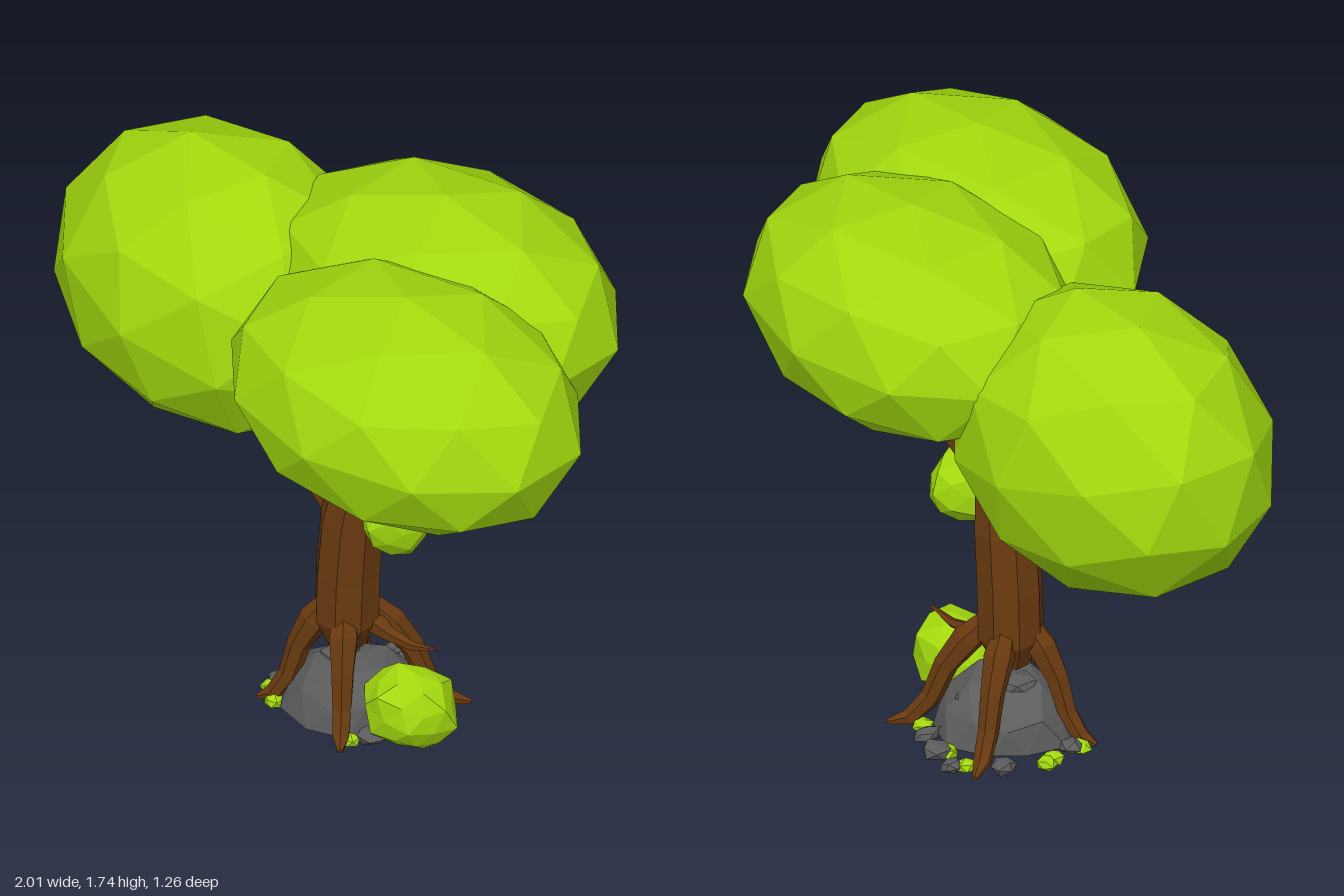
import * as THREE from 'three';

const paint = (color) => new THREE.MeshStandardMaterial({ color, flatShading: true });
const leaf = paint(0xa2d80e), bark = paint(0x693a10), stone = paint(0x5c5c5c);

// Faceted ball with a vertex at the top; tilt turns the facets, jitter roughens it,
// floor cuts it flat underneath
function blob(name, mat, [x, y, z], [rx, ry, rz], { tilt = 0, jitter = 0, floor = -1, detail = 1 } = {}) {
  const g = new THREE.IcosahedronGeometry(1, detail);
  g.rotateZ(Math.atan(2 / (1 + Math.sqrt(5)))).rotateY(Math.PI).rotateZ(tilt);
  const p = g.attributes.position, v = new THREE.Vector3();
  for (let i = 0; i < p.count; i++) {
    v.fromBufferAttribute(p, i);
    // position-based wobble keeps shared corners together
    const w = Math.sin(v.x * 7.3 + v.y * 11.1 + v.z * 5.7 + x * 40 + z * 23);
    v.multiplyScalar(1 + jitter * w);
    v.y = Math.max(v.y, floor);
    p.setXYZ(i, v.x * rx, v.y * ry, v.z * rz);
  }
  g.computeVertexNormals();
  const mesh = new THREE.Mesh(g, mat);
  mesh.name = name;
  mesh.position.set(x, y, z);
  return mesh;
}

// Tapering limb through stations [x, y, z, radius], closed at both ends
function limb(name, stations, sides = 6) {
  const pts = stations.map(([x, y, z]) => new THREE.Vector3(x, y, z));
  const last = pts.length - 1;
  const span = pts[last].clone().sub(pts[0]);
  const ref = new THREE.Vector3(-span.z, 0, span.x);
  if (ref.length() < 0.05) ref.set(0, 0, 1);
  ref.normalize();
  const pos = [], idx = [];
  pts.forEach((p, i) => {
    const t = pts[Math.min(i + 1, last)].clone().sub(pts[Math.max(i - 1, 0)]).normalize();
    const u = ref.clone().addScaledVector(t, -ref.dot(t)).normalize();
    const w = t.clone().cross(u);
    for (let k = 0; k < sides; k++) {
      const a = ((k + 0.5) / sides) * Math.PI * 2, r = stations[i][3];
      const q = p.clone().addScaledVector(u, r * Math.cos(a)).addScaledVector(w, r * Math.sin(a));
      pos.push(q.x, q.y, q.z);
      if (i < last) {
        const a0 = i * sides + k, b0 = i * sides + (k + 1) % sides;
        idx.push(a0, b0, b0 + sides, a0, b0 + sides, a0 + sides);
      }
    }
  });
  for (let k = 1; k < sides - 1; k++) {
    const e = last * sides;
    idx.push(0, k + 1, k, e, e + k, e + k + 1);
  }
  const g = new THREE.BufferGeometry();
  g.setAttribute('position', new THREE.Float32BufferAttribute(pos, 3));
  g.setIndex(idx);
  g.computeVertexNormals();
  const mesh = new THREE.Mesh(g, bark);
  mesh.name = name;
  return mesh;
}

export function createModel() {
  const tree = new THREE.Group();
  tree.name = 'tree';

  // Leaf crowns
  tree.add(
    blob('frontCrown', leaf, [0.45, 1.39, 0.21], [0.578, 0.34, 0.42]),
    blob('backCrown', leaf, [0.2, 1.41, -0.215], [0.57, 0.335, 0.42]),
    blob('sideCrown', leaf, [-0.49, 1.24, -0.035], [0.53, 0.44, 0.415], { tilt: 0.78 }),
  );

  // Small leaf clumps on the trunk and at the base
  tree.add(
    blob('trunkClump', leaf, [0.2, 0.76, -0.02], [0.1, 0.12, 0.115], { tilt: 0.5, jitter: 0.07 }),
    blob('baseBush', leaf, [0.275, 0.155, 0.005], [0.14, 0.13, 0.12], { tilt: 0.9, jitter: 0.09 }),
  );

  // Trunk
  tree.add(limb('trunk', [
    [0.02, 0.25, 0, 0.05], [0.02, 0.34, -0.005, 0.095], [0.025, 0.5, -0.005, 0.095],
    [0.04, 0.68, -0.005, 0.093], [0.07, 0.85, 0, 0.075], [0.06, 0.97, 0.03, 0.05], [0.06, 1.18, 0.04, 0.036],
  ], 8));

  // Branches
  tree.add(
    limb('sideBranch', [[0.03, 0.64, -0.01, 0.06], [-0.05, 0.71, -0.01, 0.04], [-0.17, 0.77, -0.01, 0.024],
      [-0.34, 0.89, -0.01, 0.016], [-0.45, 0.97, -0.01, 0.012]]),
    limb('backBranch', [[0.08, 0.76, -0.01, 0.06], [0.14, 0.9, -0.05, 0.05], [0.18, 1.0, -0.1, 0.046],
      [0.29, 1.07, -0.15, 0.042], [0.36, 1.15, -0.18, 0.035]]),
    limb('frontBranch', [[0.09, 0.92, 0, 0.04], [0.15, 1.0, 0.11, 0.028], [0.25, 1.06, 0.25, 0.02],
      [0.32, 1.12, 0.33, 0.015]]),
    limb('upperBranch', [[0.06, 0.96, 0.01, 0.035], [-0.01, 1.0, 0, 0.027], [-0.12, 1.06, -0.02, 0.02],
      [-0.2, 1.12, -0.03, 0.015]]),
    limb('twig', [[0.08, 0.34, -0.04, 0.04], [0.14, 0.31, -0.05, 0.022], [0.22, 0.3, -0.06, 0.014],
      [0.3, 0.32, -0.07, 0.004]], 5),
  );

  // Roots: from the trunk foot out over the rocks to the ground
  const roots = [[-0.18, 0.12], [0.15, 0.16], [0.24, -0.24], [-0.12, -0.23]];
  for (const [x, z] of roots) {
    const at = (f, y, r) => [0.02 + (x - 0.02) * f, y, z * f, r];
    tree.add(limb('root', [at(0.15, 0.4, 0.03), at(0.38, 0.32, 0.045), at(0.57, 0.23, 0.035),
      at(0.7, 0.12, 0.03), at(0.88, 0.05, 0.026), at(1.08, 0.03, 0.008)]));
  }

  // Rock mound with broken stones on and around it
  tree.add(blob('rockMound', stone, [0.03, 0.045, -0.02], [0.2, 0.17, 0.19], { jitter: 0.08, floor: 0 }));
  const stones = [
    [0.0, 0.19, 0.0, 0.06], [0.1, 0.16, 0.03, 0.06], [0.08, 0.14, -0.1, 0.06], [-0.09, 0.1, -0.04, 0.06],
    [0.02, 0.06, -0.27, 0.04], [-0.19, 0.05, 0.05, 0.035], [0.1, 0.06, -0.24, 0.04],
    [-0.15, 0.05, -0.16, 0.04], [0.2, 0.06, 0.08, 0.045], [-0.06, 0.05, -0.28, 0.035],
  ];
  for (const [x, y, z, r] of stones)
    tree.add(blob('stone', stone, [x, y, z], [r, r * 0.6, r], { jitter: 0.2, tilt: x * 9, detail: 0 }));

  // Moss tufts along the ground
  const tufts = [[-0.19, 0.04, 0.08], [-0.14, 0.035, 0.12], [0.15, 0.04, 0.12], [0.02, 0.04, -0.23],
    [-0.2, 0.04, -0.05], [-0.08, 0.045, -0.24], [0.17, 0.04, -0.2], [-0.17, 0.025, 0.0]];
  for (const [x, y, z] of tufts)
    tree.add(blob('mossTuft', leaf, [x, y, z], [0.033, 0.023, 0.03], { jitter: 0.1, tilt: z * 9, detail: 0 }));

  return tree;
}
